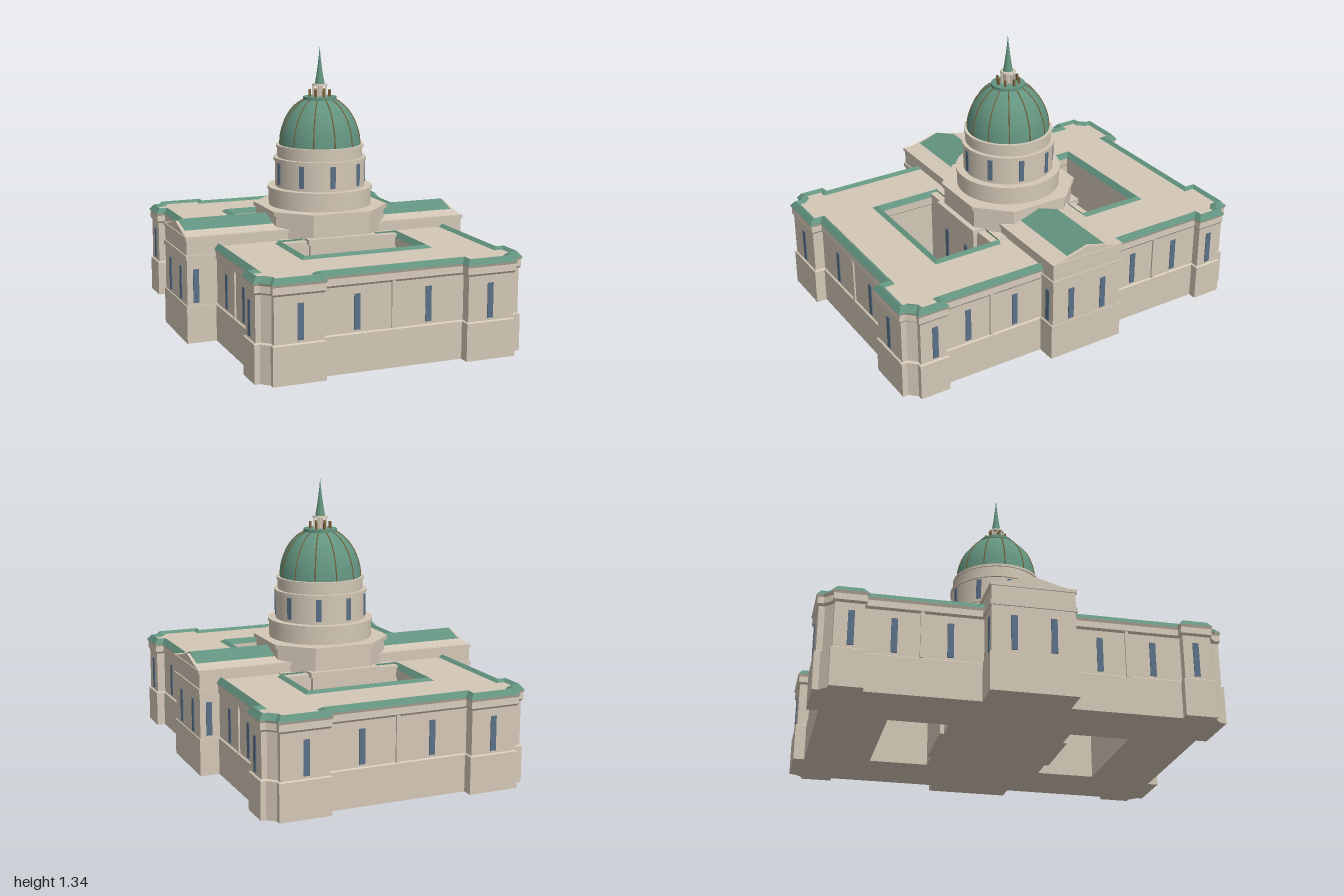
import * as THREE from 'three';

const mat = (color, extra = {}) => new THREE.MeshStandardMaterial({ color, ...extra });
const stone = mat(0xd3c7b6), copper = mat(0x639480), glass = mat(0x5a7088), bronze = mat(0x7a6038);
const thinCopper = mat(0x639480, { side: THREE.DoubleSide });

function add(parent, name, geometry, material, x = 0, y = 0, z = 0, ry = 0) {
  const m = new THREE.Mesh(geometry, material);
  m.name = name;
  m.position.set(x, y, z);
  m.rotation.y = ry;
  parent.add(m);
  return m;
}
const box = (w, h, d) => new THREE.BoxGeometry(w, h, d);

// Outer plan, inset by d: long block with projecting, notched corner pavilions
function plan(d) {
  const q = [
    [0.6 - d, 0.7 + d], [0.64 - d, 0.7 + d], [0.64 - d, 0.855 - d], [0.615 - d, 0.855 - d],
    [0.58 - d, 0.89 - d], [0.58 - d, 0.917 - d], [0.33 + d, 0.917 - d], [0.33 + d, 0.866 - d],
  ];
  const flip = (sx, sz) => q.map(([x, z]) => [x * sx, z * sz]);
  return [...flip(1, 1), ...flip(-1, 1).reverse(), ...flip(-1, -1), ...flip(1, -1).reverse()];
}

// Courtyard opening, grown by d; wound the other way so its walls face inwards
function court(d, s) {
  const r = [[-0.28 - d, 0.24], [-0.28 - d, 0.55 + d], [0.28 + d, 0.55 + d], [0.28 + d, 0.24]];
  return s > 0 ? r : r.map(([x, z]) => [x, -z]).reverse();
}

// Walls through a profile of [inset, height] pairs around a plan
function loft(ring, profile) {
  const pos = [];
  for (let k = 0; k + 1 < profile.length; k++) {
    const [d0, y0] = profile[k], [d1, y1] = profile[k + 1];
    const lo = ring(d0), hi = ring(d1), n = lo.length;
    for (let i = 0; i < n; i++) {
      const j = (i + 1) % n;
      const a = [lo[i][0], y0, lo[i][1]], b = [lo[j][0], y0, lo[j][1]];
      const c = [hi[j][0], y1, hi[j][1]], e = [hi[i][0], y1, hi[i][1]];
      pos.push(...b, ...a, ...e, ...b, ...e, ...c);
    }
  }
  const g = new THREE.BufferGeometry();
  g.setAttribute('position', new THREE.Float32BufferAttribute(pos, 3));
  g.computeVertexNormals();
  return g;
}

// Flat slab surface with both courtyards cut out
function slab(d) {
  const pts = (r) => r.map(([x, z]) => new THREE.Vector2(x, z));
  const shape = new THREE.Shape(pts(plan(d)));
  for (const s of [1, -1]) shape.holes.push(new THREE.Path(pts(court(d, s))));
  return new THREE.ShapeGeometry(shape);
}

// Shape in (z, y) extruded along x from x0 to x1
function prismX(points, x0, x1) {
  const s = new THREE.Shape(points.map(([z, y]) => new THREE.Vector2(-z, y)));
  const g = new THREE.ExtrudeGeometry(s, { depth: x1 - x0, bevelEnabled: false });
  return g.rotateY(Math.PI / 2).translate(x0, 0, 0);
}

function buildBlock(g) {
  const rim = [[0, 0.437], [0.02, 0.463], [0.04, 0.45]];
  const wall = [[0.004, 0], [0.004, 0.173], [0.012, 0.178], [0.012, 0.385], [0.004, 0.395], [0.006, 0.425], [0, 0.437]];
  add(g, 'outerWalls', loft(plan, wall), stone);
  add(g, 'roofRim', loft(plan, rim), copper);
  add(g, 'flatRoof', slab(0.04).rotateX(-Math.PI / 2), stone, 0, 0.45);
  add(g, 'underside', slab(0.004).rotateX(Math.PI / 2), stone);
  for (const s of [1, -1]) {
    const ring = (d) => court(d, s);
    add(g, 'courtyardWalls', loft(ring, [[0.004, 0], [0.004, 0.395], [0, 0.4], [0, 0.437]]), stone);
    add(g, 'courtyardRim', loft(ring, rim), copper);
  }
}

function buildWings(g) {
  const x0 = -0.732, x1 = 0.683, len = x1 - x0, mid = (x0 + x1) / 2;
  add(g, 'wingBase', box(len + 0.01, 0.177, 0.39), stone, mid, 0.0885);
  add(g, 'wing', prismX([[-0.187, 0], [0.187, 0], [0.187, 0.5], [0.128, 0.51], [0, 0.546], [-0.128, 0.51], [-0.187, 0.5]], x0, x1), stone);
  add(g, 'wingCornice', box(len + 0.012, 0.022, 0.388), stone, mid, 0.405);
  add(g, 'wingEave', box(len + 0.01, 0.016, 0.386), stone, mid, 0.494);
  // Pitched copper roofs either side of the dome
  const roof = [[-0.13, 0.508], [0.13, 0.508], [0, 0.552]];
  add(g, 'wingRoof', prismX(roof, x0 + 0.015, -0.265), copper);
  add(g, 'wingRoof', prismX(roof, 0.265, x1 - 0.015), copper);
  // Crossing under the dome
  add(g, 'crossing', box(0.58, 0.455, 0.556), stone, 0, 0.2275);
  add(g, 'crossingBay', box(0.33, 0.45, 0.595), stone, 0, 0.225);
  add(g, 'crossingCornice', box(0.35, 0.025, 0.61), stone, 0, 0.455);
}

function buildWindows(g) {
  const long = (x, z, alongX) =>
    add(g, 'window', alongX ? box(0.028, 0.16, 0.012) : box(0.012, 0.16, 0.028), glass, x, 0.27, z);
  for (const s of [1, -1]) {
    for (const t of [1, -1]) {
      long(0.17 * t, 0.852 * s, true);
      long(0.45 * t, 0.903 * s, true);
      long(0.586 * s, 0.335 * t, false);
      long(0.586 * s, 0.58 * t, false);
      long(0.626 * s, 0.77 * t, false);
      long(s > 0 ? 0.682 : -0.731, 0.088 * t, false);
      long(s > 0 ? 0.64 : -0.69, 0.185 * t, true);
      long(0.09 * t, 0.295 * s, true);
      add(g, 'pilaster', box(0.012, 0.215, 0.016), stone, 0.59 * s, 0.285, 0.46 * t);
    }
    add(g, 'pilaster', box(0.016, 0.215, 0.012), stone, 0, 0.285, 0.856 * s);
  }
}

function buildDome(g) {
  // Eight-sided platform
  const octagon = (a, b, y0, y1) => {
    const p = [[a, b], [b, a], [-b, a], [-a, b], [-a, -b], [-b, -a], [b, -a], [a, -b]];
    const s = new THREE.Shape(p.map(([x, y]) => new THREE.Vector2(x, y)));
    return new THREE.ExtrudeGeometry(s, { depth: y1 - y0, bevelEnabled: false }).rotateX(-Math.PI / 2).translate(0, y0, 0);
  };
  add(g, 'platform', octagon(0.28, 0.143, 0.44, 0.565), stone);
  add(g, 'platformCornice', octagon(0.292, 0.147, 0.56, 0.58), stone);

  // Stepped drum
  const tier = (r, y0, y1) =>
    add(g, 'drumTier', new THREE.CylinderGeometry(r, r, y1 - y0, 48), stone, 0, (y0 + y1) / 2);
  tier(0.25, 0.57, 0.66);
  tier(0.255, 0.655, 0.67);
  tier(0.218, 0.66, 0.8);
  tier(0.226, 0.797, 0.812);
  tier(0.207, 0.8, 0.865);
  tier(0.213, 0.86, 0.872);
  for (let i = 0; i < 9; i++) {
    const a = ((i * 40 - 5) * Math.PI) / 180;
    add(g, 'drumWindow', box(0.024, 0.105, 0.012), glass, 0.216 * Math.sin(a), 0.737, 0.216 * Math.cos(a), a);
  }

  // Copper dome and its ribs
  const prof = [[0.198, 0.87], [0.193, 0.92], [0.18, 0.966], [0.16, 1.01], [0.133, 1.047], [0.105, 1.072], [0.07, 1.092]];
  add(g, 'dome', new THREE.LatheGeometry(prof.map(([r, y]) => new THREE.Vector2(r, y)), 48), thinCopper);
  const curve = new THREE.CatmullRomCurve3(prof.map(([r, y]) => new THREE.Vector3(r, y, 0)));
  const rib = new THREE.TubeGeometry(curve, 16, 0.003, 5);
  for (let i = 0; i < 12; i++) add(g, 'domeRib', rib, bronze, 0, 0, 0, (i * Math.PI) / 6);

  // Lantern and spire
  add(g, 'lanternDeck', new THREE.CylinderGeometry(0.081, 0.081, 0.014, 32), copper, 0, 1.096);
  add(g, 'lanternCore', new THREE.CylinderGeometry(0.016, 0.016, 0.06, 12), stone, 0, 1.13);
  for (let i = 0; i < 8; i++) {
    const a = (i * Math.PI) / 4;
    const c = Math.cos(a), s = Math.sin(a);
    add(g, 'lanternColumn', new THREE.CylinderGeometry(0.004, 0.004, 0.06, 8), stone, 0.032 * c, 1.13, 0.032 * s);
    add(g, 'lanternPost', box(0.01, 0.032, 0.01), bronze, 0.052 * c, 1.118, 0.052 * s, -a);
  }
  add(g, 'lanternCap', new THREE.CylinderGeometry(0.036, 0.038, 0.008, 24), stone, 0, 1.16);
  add(g, 'spire', new THREE.LatheGeometry(
    [[0.024, 1.163], [0.017, 1.2], [0.01, 1.25], [0.004, 1.3], [0.0001, 1.343]].map(([r, y]) => new THREE.Vector2(r, y)), 16), copper);
}

export function createModel() {
  const root = new THREE.Group();
  root.name = 'domedBuilding';
  const parts = { mainBlock: buildBlock, crossWings: buildWings, windows: buildWindows, domeTower: buildDome };
  const turned = new THREE.Group();
  turned.name = 'building';
  turned.rotation.y = 0.153;
  turned.position.x = -0.006;
  root.add(turned);
  for (const [name, build] of Object.entries(parts)) {
    const g = new THREE.Group();
    g.name = name;
    build(g);
    turned.add(g);
  }
  return root;
}
